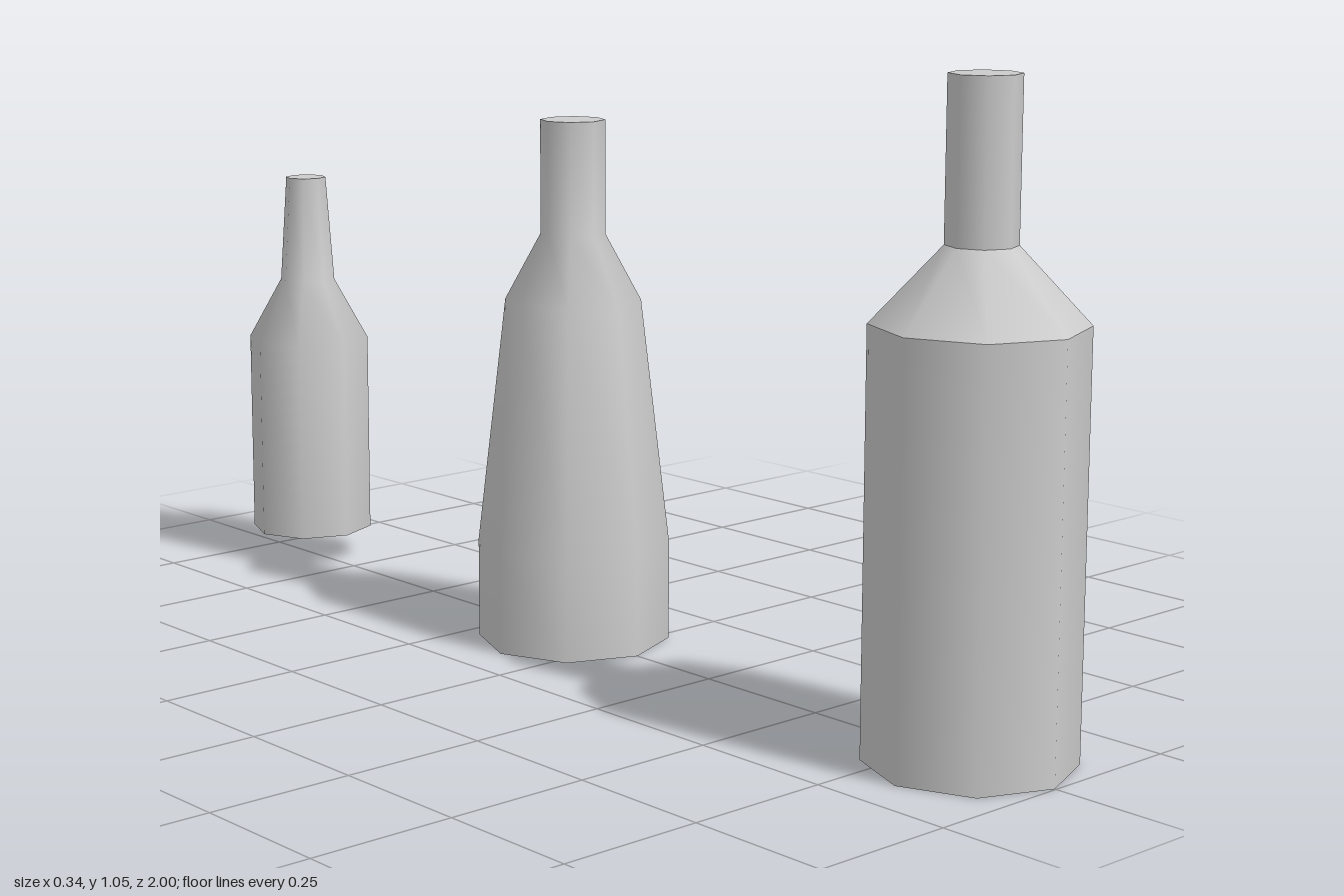
import * as THREE from 'three';

const SIDES = 8;
const material = new THREE.MeshStandardMaterial({ color: 0xcccccc });

function addMesh(group, name, geometry) {
  const mesh = new THREE.Mesh(geometry, material);
  mesh.name = name;
  group.add(mesh);
  return mesh;
}

// Flat octagonal disc closing one end of a bottle
function addCap(group, name, [radius, y], facing) {
  const disc = new THREE.CircleGeometry(radius, SIDES);
  disc.rotateX(-facing * Math.PI / 2);
  addMesh(group, name, disc).position.y = y;
}

// sections: named [radius, y] profiles from bottom to top; shading breaks between sections
function makeBottle(name, z, sections) {
  const bottle = new THREE.Group();
  bottle.name = name;
  bottle.position.z = z;
  for (const [part, profile] of sections) {
    const points = profile.map(([r, y]) => new THREE.Vector2(r, y));
    addMesh(bottle, part, new THREE.LatheGeometry(points, SIDES));
  }
  addCap(bottle, 'base', sections[0][1][0], -1);
  addCap(bottle, 'mouth', sections.at(-1)[1].at(-1), 1);
  return bottle;
}

export function createModel() {
  const model = new THREE.Group();
  model.name = 'bottles';
  model.add(
    // Tall straight bottle with hard shoulder edges
    makeBottle('straightBottle', 0.83, [
      ['body', [[0.168, 0], [0.168, 0.68]]],
      ['shoulder', [[0.168, 0.68], [0.056, 0.8]]],
      ['neck', [[0.056, 0.8], [0.056, 1.055]]],
    ]),
    // Tapered bottle with a soft shoulder
    makeBottle('taperedBottle', -0.097, [
      ['body', [[0.168, 0], [0.168, 0.175], [0.118, 0.605], [0.056, 0.72], [0.056, 0.917]]],
    ]),
    // Small bottle, set slightly higher, with a narrowing neck
    makeBottle('smallBottle', -0.885, [
      ['body', [[0.115, 0.057], [0.115, 0.435], [0.052, 0.548], [0.038, 0.747]]],
    ]),
  );
  return model;
}
